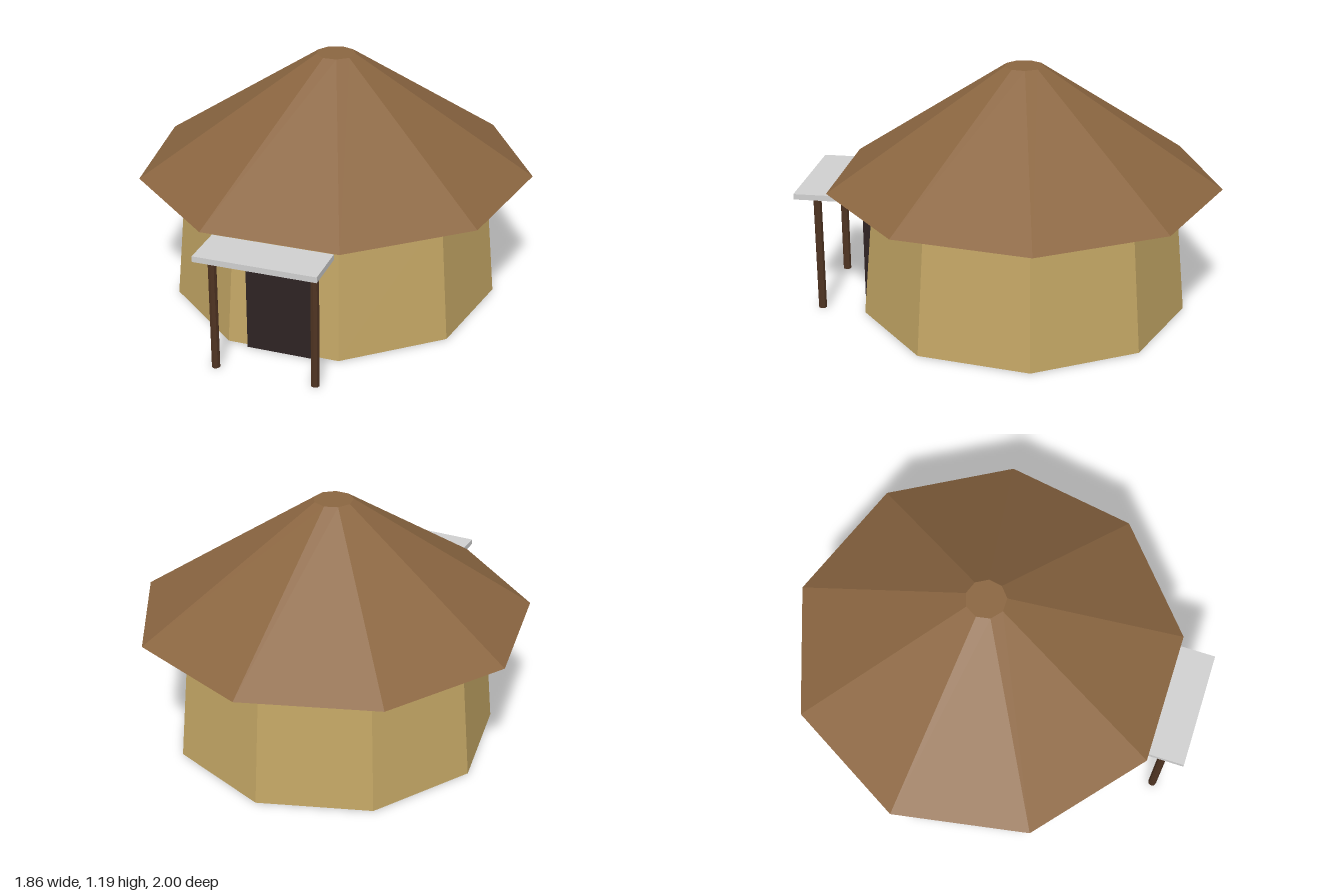
import * as THREE from 'three';

const flat = (name, color) => {
  const m = new THREE.MeshStandardMaterial({ color });
  m.name = name;
  m.flatShading = true;
  return m;
};

export function createModel() {
  const hut = new THREE.Group();
  hut.name = 'hut';

  const thatch = flat('thatch brown', 0x8b6641);
  const clay = flat('clay tan', 0xc2a564);
  const wood = flat('post wood', 0x4f3422);
  const dark = flat('dark doorway', 0x2e2323);
  const slab = flat('pale grey', 0xd0d0d0);

  const add = (name, geometry, material, x, y, z) => {
    const mesh = new THREE.Mesh(geometry, material);
    mesh.name = name;
    mesh.position.set(x, y, z);
    hut.add(mesh);
  };

  // Nine-sided frustum with a corner at the back and a flat face in front
  const sides = 9, centreZ = -0.057, eaves = 0.625, top = 1.19;
  const frustum = (rTop, rBottom, h) =>
    new THREE.CylinderGeometry(rTop, rBottom, h, sides, 1, false, Math.PI);

  add('walls', frustum(0.725, 0.783, eaves), clay, 0, eaves / 2, centreZ);
  add('roof', frustum(0.094, 0.943, top - eaves), thatch, 0, (top + eaves) / 2, centreZ);

  // Door block set into the sloping front wall
  add('door', new THREE.BoxGeometry(0.33, 0.44, 0.1), dark, 0, 0.22, 0.65);

  // Porch: flat canopy on two posts
  add('porchCanopy', new THREE.BoxGeometry(0.565, 0.027, 0.215), slab, 0, 0.5855, 0.8925);
  for (const side of [-1, 1]) {
    add(side > 0 ? 'leftPost' : 'rightPost',
      new THREE.CylinderGeometry(0.02, 0.02, 0.574, 8), wood, side * 0.236, 0.287, 0.8975);
  }
  return hut;
}
